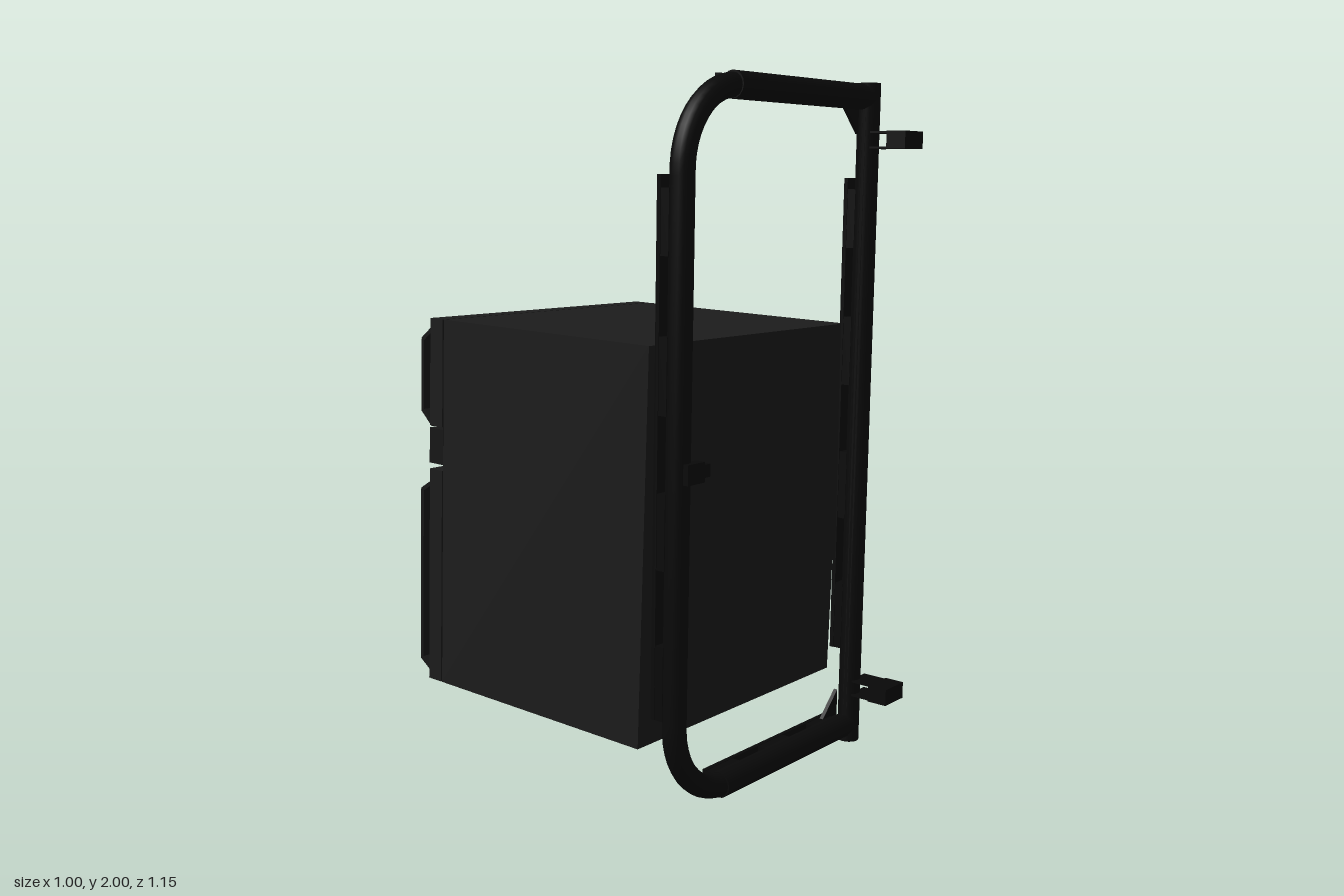
import * as THREE from 'three';

const shellMat = new THREE.MeshStandardMaterial({ color: 0x1c1c1c });
const panelMat = new THREE.MeshStandardMaterial({ color: 0x171717, side: THREE.DoubleSide });
const frameMat = new THREE.MeshStandardMaterial({ color: 0x090909 });

function add(parent, name, geo, mat, x = 0, y = 0, z = 0) {
  const m = new THREE.Mesh(geo, mat);
  m.name = name;
  m.position.set(x, y, z);
  parent.add(m);
  return m;
}
const box = (parent, name, mat, w, h, d, x, y, z) =>
  add(parent, name, new THREE.BoxGeometry(w, h, d), mat, x, y, z);

// Rounded slot outline used as a hole
function slot(cx, cy, w, h) {
  const p = new THREE.Path(), r = h / 2, a = w / 2 - r;
  p.moveTo(cx - a, cy - r);
  p.lineTo(cx + a, cy - r);
  p.absarc(cx + a, cy, r, -Math.PI / 2, Math.PI / 2, false);
  p.lineTo(cx - a, cy + r);
  p.absarc(cx - a, cy, r, Math.PI / 2, Math.PI * 1.5, false);
  return p;
}

// Perforated cover standing off the back of the case, with bent top and bottom lips
function ventCover(parent, name, lipTop, faceTop, faceBottom, lipBottom, rows, longSlot) {
  const g = new THREE.Group();
  g.name = name;
  parent.add(g);
  const W = 0.91, t = 0.012, faceZ = -0.459, baseZ = -0.412;
  const s = new THREE.Shape();
  s.moveTo(-W / 2, faceBottom);
  s.lineTo(W / 2, faceBottom);
  s.lineTo(W / 2, faceTop);
  s.lineTo(-W / 2, faceTop);
  s.closePath();
  if (longSlot) s.holes.push(slot(0, faceTop - 0.035, 0.78, 0.024));
  const top = faceTop - (longSlot ? 0.09 : 0.035), bottom = faceBottom + 0.035;
  for (let r = 0; r < rows; r++) {
    const y = top + (bottom - top) * r / (rows - 1);
    for (let c = 0; c < 16; c++) {
      const wide = (c + r * 3) % 5 < 2;
      s.holes.push(slot(-0.405 + c * 0.054, y, wide ? 0.034 : 0.018, 0.009));
    }
  }
  add(g, 'perforatedFace', new THREE.ExtrudeGeometry(s,
    { depth: t, bevelEnabled: false, curveSegments: 3 }), panelMat, 0, 0, faceZ);
  for (const [yFace, yLip] of [[faceTop, lipTop], [faceBottom, lipBottom]]) {
    const dy = yLip - yFace, dz = baseZ - faceZ - t / 2;
    const lip = box(g, 'bentLip', panelMat, W, t, Math.hypot(dy, dz) + 0.006,
      0, (yFace + yLip) / 2, (faceZ + t / 2 + baseZ) / 2);
    lip.rotation.x = -Math.atan2(dy, dz);
  }
}

function makeCase() {
  const g = new THREE.Group();
  g.name = 'case';
  g.position.set(-0.03, 0.7625, -0.0925);
  g.rotation.set(0.039, 0.013, 0);
  box(g, 'caseBody', shellMat, 0.925, 1.09, 0.768, 0, 0, 0.0285);
  box(g, 'seam', frameMat, 0.917, 1.082, 0.006, 0, 0, -0.358);
  // Rear bezel in two parts with a recess between
  box(g, 'upperBezel', shellMat, 0.925, 0.315, 0.052, 0, 0.3875, -0.3865);
  box(g, 'lowerBezel', shellMat, 0.925, 0.645, 0.052, 0, -0.2225, -0.3865);
  box(g, 'middleStrip', panelMat, 0.915, 0.105, 0.058, 0, 0.169, -0.39);
  for (const x of [-0.36, 0.36]) {
    const tab = add(g, 'stripTab', new THREE.CapsuleGeometry(0.016, 0.06, 4, 8), frameMat, x, 0.169, -0.414);
    tab.rotation.z = Math.PI / 2;
    tab.scale.z = 0.5;
  }
  ventCover(g, 'upperCover', 0.514, 0.48, 0.27, 0.232, 5, false);
  ventCover(g, 'lowerCover', 0.057, 0.03, -0.491, -0.519, 10, true);
  return g;
}

// Thin rail held off a tube by a row of spacers; local x is its length
function standoffRail(parent, name, length, spacers, x, y, vertical) {
  const g = new THREE.Group();
  g.name = name;
  g.position.set(x, y, 0);
  if (vertical) g.rotation.z = Math.PI / 2;
  parent.add(g);
  box(g, 'railStrip', frameMat, length, 0.062, 0.012, 0, 0, -0.051);
  const pitch = length / (spacers - 0.5);
  for (let i = 0; i < spacers; i++) {
    const w = i === spacers - 1 ? pitch * 0.42 : pitch * 0.5;
    box(g, 'spacer', frameMat, w, 0.058, 0.03, -length / 2 + i * pitch + w / 2, 0, -0.034);
  }
}

function makeFrame() {
  const g = new THREE.Group();
  g.name = 'frame';
  g.position.z = 0.397;
  g.rotation.set(0.0175, 0.008, 0);
  const R = 0.033, xl = -0.455, xp = 0.408, y0 = 0.055, y1 = 1.957, r = 0.22;

  // Straight hinge post
  add(g, 'post', new THREE.CylinderGeometry(R, R, 1.995, 20), frameMat, xp, 1, 0);

  // Bent loop with two rounded corners
  const v = (x, y) => new THREE.Vector3(x, y, 0);
  const k = r * 0.448;
  const path = new THREE.CurvePath();
  path.add(new THREE.LineCurve3(v(xp, y0), v(xl + r, y0)));
  path.add(new THREE.CubicBezierCurve3(v(xl + r, y0), v(xl + k, y0), v(xl, y0 + k), v(xl, y0 + r)));
  path.add(new THREE.LineCurve3(v(xl, y0 + r), v(xl, y1 - r)));
  path.add(new THREE.CubicBezierCurve3(v(xl, y1 - r), v(xl, y1 - k), v(xl + k, y1), v(xl + r, y1)));
  path.add(new THREE.LineCurve3(v(xl + r, y1), v(xp, y1)));
  add(g, 'bentTube', new THREE.TubeGeometry(path, 120, R, 16), frameMat);

  // Sleeves and rails on the crossbars, rails on the uprights
  for (const [y, s] of [[y0, 1], [y1, -1]]) {
    const sleeve = add(g, 'crossbarSleeve', new THREE.CylinderGeometry(0.037, 0.037, 0.62, 16), frameMat, 0.055, y, 0);
    sleeve.rotation.z = Math.PI / 2;
    standoffRail(g, 'crossbarRail', 0.62, 3, 0.055, y, false);
    // Corner gusset against the post
    const tri = new THREE.Shape();
    tri.moveTo(0, 0);
    tri.lineTo(-0.08 * s, 0);
    tri.lineTo(0, 0.08);
    const gusset = add(g, 'gusset', new THREE.ExtrudeGeometry(tri, { depth: 0.012, bevelEnabled: false }),
      frameMat, xp - 0.025, y + 0.025 * s, s > 0 ? -0.04 : -0.028);
    if (s < 0) gusset.rotation.z = Math.PI;
    if (s < 0) gusset.scale.x = 1;
  }
  standoffRail(g, 'postRail', 1.43, 4, xp, 1.01, true);
  standoffRail(g, 'tubeRail', 1.43, 4, xl, 1.01, true);

  // Hinges in front of the post
  for (const y of [0.175, 1.835]) {
    const h = new THREE.Group();
    h.name = 'hinge';
    h.position.set(xp, y, y > 1 ? 0 : 0.005);
    g.add(h);
    for (const dy of [-0.022, 0.022]) box(h, 'hingePlate', frameMat, 0.085, 0.006, 0.1, 0.018, dy, 0.06);
    box(h, 'hingeBlock', frameMat, 0.1, 0.05, 0.062, 0.018, 0, 0.113);
    const pin = add(h, 'hingePin', new THREE.CylinderGeometry(0.014, 0.014, 0.026, 12), frameMat, 0.079, 0, 0.113);
    pin.rotation.z = Math.PI / 2;
  }

  // Latch on the bent upright
  box(g, 'latchPlate', frameMat, 0.07, 0.055, 0.03, -0.435, 0.965, 0.03);
  box(g, 'latchTongue', frameMat, 0.05, 0.035, 0.02, -0.393, 0.965, 0.028);
  return g;
}

export function createModel() {
  const model = new THREE.Group();
  model.name = 'caseWithFrame';
  model.add(makeCase(), makeFrame());
  return model;
}
